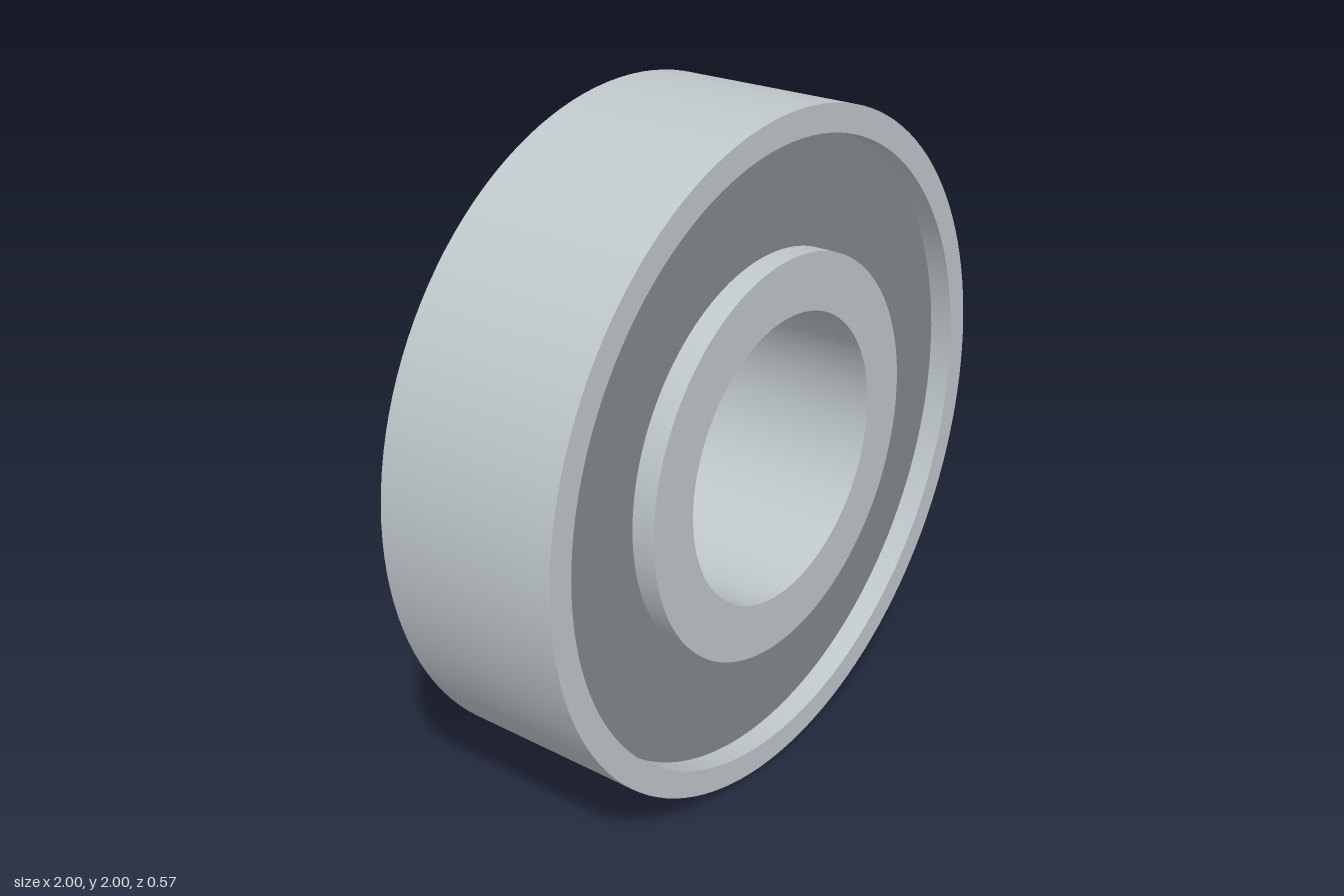
import * as THREE from 'three';
import { mergeGeometries } from 'three/addons/utils/BufferGeometryUtils.js';

const SEGMENTS = 128;

// Ring of rectangular section around the z axis; each face is its own lathe so edges stay sharp
function ring(name, innerRadius, outerRadius, halfWidth, material) {
  const corners = [
    [outerRadius, -halfWidth],
    [outerRadius, halfWidth],
    [innerRadius, halfWidth],
    [innerRadius, -halfWidth],
  ].map(([r, y]) => new THREE.Vector2(r, y));
  const faces = corners.map((p, i) => new THREE.LatheGeometry([p, corners[(i + 1) % 4]], SEGMENTS));
  const mesh = new THREE.Mesh(mergeGeometries(faces).rotateX(Math.PI / 2), material);
  mesh.name = name;
  mesh.position.y = 1;
  return mesh;
}

export function createModel() {
  const steel = new THREE.MeshStandardMaterial({ color: 0xc0c8cc });
  steel.name = 'polished steel';
  const seal = new THREE.MeshStandardMaterial({ color: 0x86898c });
  seal.name = 'grey shield';

  const bearing = new THREE.Group();
  bearing.name = 'ballBearing';
  bearing.add(
    ring('outerRace', 0.92, 1, 0.286, steel),
    ring('innerRace', 0.43, 0.597, 0.286, steel),
    // Recessed shield, let slightly into both races
    ring('shield', 0.587, 0.93, 0.216, seal),
  );
  return bearing;
}
